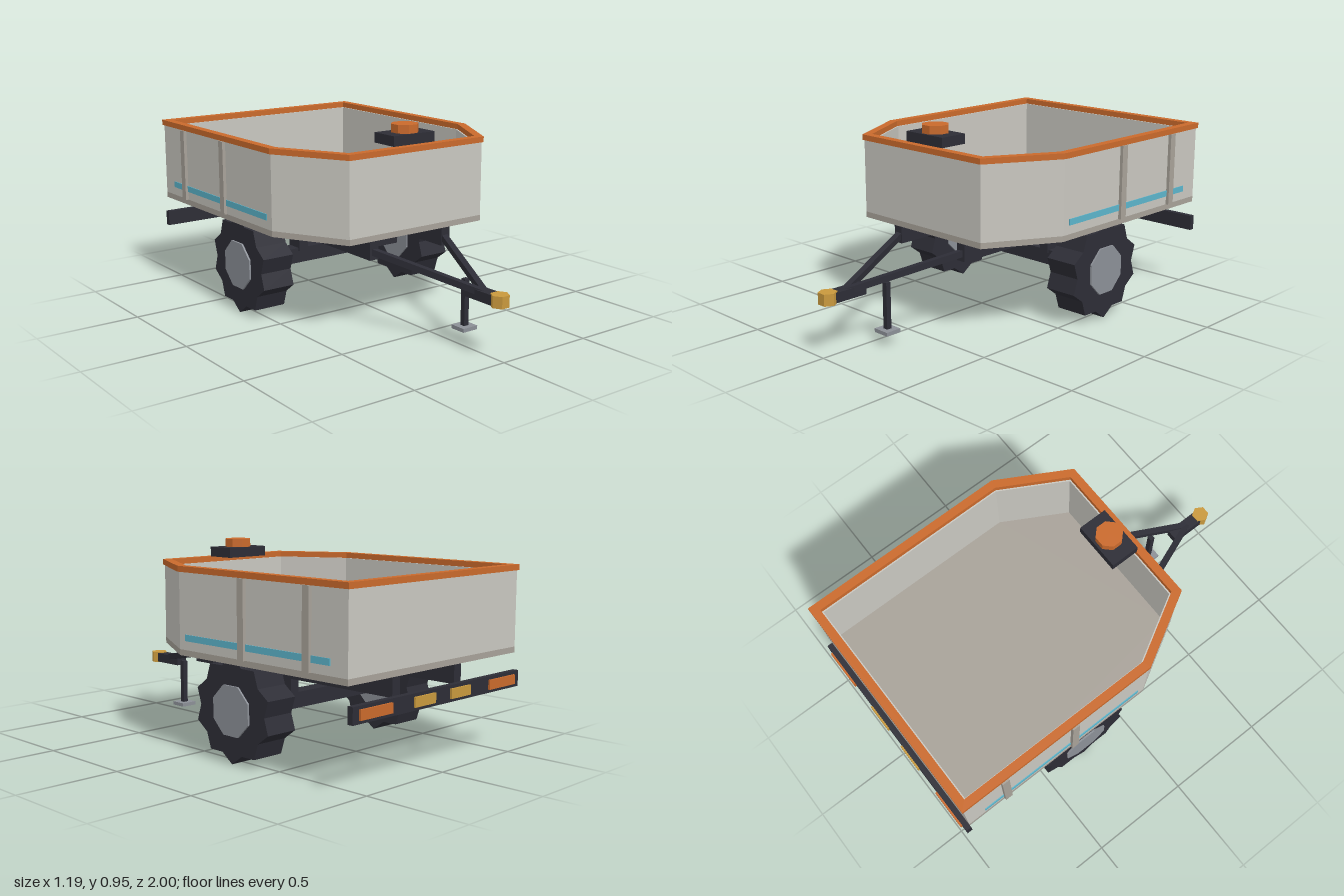
import * as THREE from 'three';

const mat = (name, color, extra = {}) => {
  const m = new THREE.MeshStandardMaterial({ color, ...extra });
  m.name = name;
  return m;
};

export function createModel() {
  const root = new THREE.Group();
  root.name = 'trailer';
  const panel = mat('pale panel', 0xc9c7c0);
  const trim = mat('warm grey', 0xa8a299);
  const orange = mat('orange', 0xca6a2c);
  const dark = mat('dark frame', 0x2d2d36);
  const gold = mat('gold', 0xc9993d);
  const steel = mat('steel', 0x8c9097);
  const blue = mat('blue', 0x5cb5cb);

  const add = (name, geo, material, x = 0, y = 0, z = 0) => {
    const mesh = new THREE.Mesh(geo, material);
    mesh.name = name;
    mesh.position.set(x, y, z);
    root.add(mesh);
    return mesh;
  };
  // Box given by its min and max corners
  const box = (name, material, x0, x1, y0, y1, z0, z1) =>
    add(name, new THREE.BoxGeometry(x1 - x0, y1 - y0, z1 - z0), material,
      (x0 + x1) / 2, (y0 + y1) / 2, (z0 + z1) / 2);
  // Faceted upright prism
  const prism = (name, material, r, h, sides, turn, x, y, z) => {
    const g = new THREE.CylinderGeometry(r, r, h, sides).toNonIndexed();
    g.rotateY(turn);
    g.computeVertexNormals();
    return add(name, g, material, x, y, z);
  };

  // Plan outline of the tub with clipped front corners, moved inward by d
  const outline = (d) => {
    const w = 0.58 - d, back = -0.965 + d, front = 0.41 - d;
    const nx = 0.873, nz = 0.488;
    const c = nx * 0.58 + nz * 0.07 - d;
    const zc = (c - nx * w) / nz, xf = (c - nz * front) / nx;
    return [[-w, back], [-w, zc], [-xf, front], [xf, front], [w, zc], [w, back]]
      .map(([x, z]) => new THREE.Vector2(x, -z));
  };
  const slab = (name, material, outer, inner, y0, y1) => {
    const shape = new THREE.Shape(outline(outer));
    if (inner !== null) shape.holes.push(new THREE.Path(outline(inner)));
    const g = new THREE.ExtrudeGeometry(shape, { depth: y1 - y0, bevelEnabled: false });
    g.rotateX(-Math.PI / 2);
    return add(name, g, material, 0, y0, 0);
  };

  // Tub
  slab('floor', trim, 0, null, 0.455, 0.483);
  slab('floorLiner', trim, 0.035, null, 0.483, 0.49);
  slab('walls', panel, 0, 0.04, 0.483, 0.84);
  slab('rim', orange, -0.008, 0.033, 0.84, 0.867);

  // Cap box on the front rim
  box('capBase', dark, -0.12, 0.12, 0.867, 0.915, 0.235, 0.38);
  prism('cap', orange, 0.066, 0.04, 8, Math.PI / 8, 0, 0.935, 0.308);

  // Ten-lobed tyre profile
  const star = new THREE.Shape();
  for (let i = 0; i < 20; i++) {
    const a = Math.PI / 2 + (i * Math.PI) / 10, r = i % 2 ? 0.207 : 0.243;
    star[i ? 'lineTo' : 'moveTo'](r * Math.cos(a), r * Math.sin(a));
  }
  star.closePath();

  for (const s of [-1, 1]) {
    const side = s > 0 ? 'left' : 'right';
    const span = (a, b) => (s > 0 ? [a, b] : [-b, -a]);

    // Side ribs and stripe
    for (const z of [-0.355, -0.745])
      box(side + 'Rib', trim, ...span(0.57, 0.596), 0.483, 0.84, z - 0.019, z + 0.019);
    box(side + 'Stripe', blue, ...span(0.577, 0.584), 0.525, 0.555, -0.87, 0.03);

    // Chassis rail and axle hanger
    box(side + 'Rail', dark, ...span(0.19, 0.24), 0.35, 0.455, -0.91, 0.36);
    box(side + 'Hanger', dark, ...span(0.19, 0.24), 0.265, 0.35, -0.31, -0.22);

    // Wheel
    const tyre = new THREE.ExtrudeGeometry(star, { depth: 0.165, bevelEnabled: false });
    tyre.translate(0, 0, -0.0825);
    tyre.rotateY(Math.PI / 2);
    add(side + 'Tyre', tyre, dark, s * 0.4825, 0.243, -0.265);
    const hub = prism(side + 'Hub', steel, 0.123, 0.183, 8, Math.PI / 8, s * 0.4825, 0.243, -0.265);
    hub.rotation.z = Math.PI / 2;

    // Drawbar arm
    const a = new THREE.Vector3(s * 0.215, 0.388, 0.35), b = new THREE.Vector3(0, 0.28, 0.87);
    const arm = add(side + 'DrawbarArm', new THREE.BoxGeometry(0.03, 0.03, a.distanceTo(b)), dark);
    arm.position.copy(a).add(b).multiplyScalar(0.5);
    arm.lookAt(b);

    // Tail lights
    box(side + 'TailLight', orange, ...span(0.34, 0.54), 0.315, 0.36, -0.9995, -0.99);
    box(side + 'MarkerLight', gold, ...span(0.055, 0.195), 0.315, 0.36, -0.9995, -0.99);
  }

  box('axle', dark, -0.41, 0.41, 0.205, 0.28, -0.303, -0.228);
  box('lightBar', dark, -0.578, 0.578, 0.3, 0.375, -0.99, -0.962);

  // Hitch
  box('couplerBar', dark, -0.03, 0.03, 0.248, 0.295, 0.77, 0.94);
  prism('coupler', gold, 0.043, 0.055, 6, Math.PI / 6, 0, 0.273, 0.9627);

  // Jack stand
  box('jackPost', dark, 0.047, 0.073, 0.065, 0.29, 0.665, 0.69);
  box('jackFoot', steel, 0.018, 0.102, 0.05, 0.068, 0.637, 0.718);

  return root;
}
